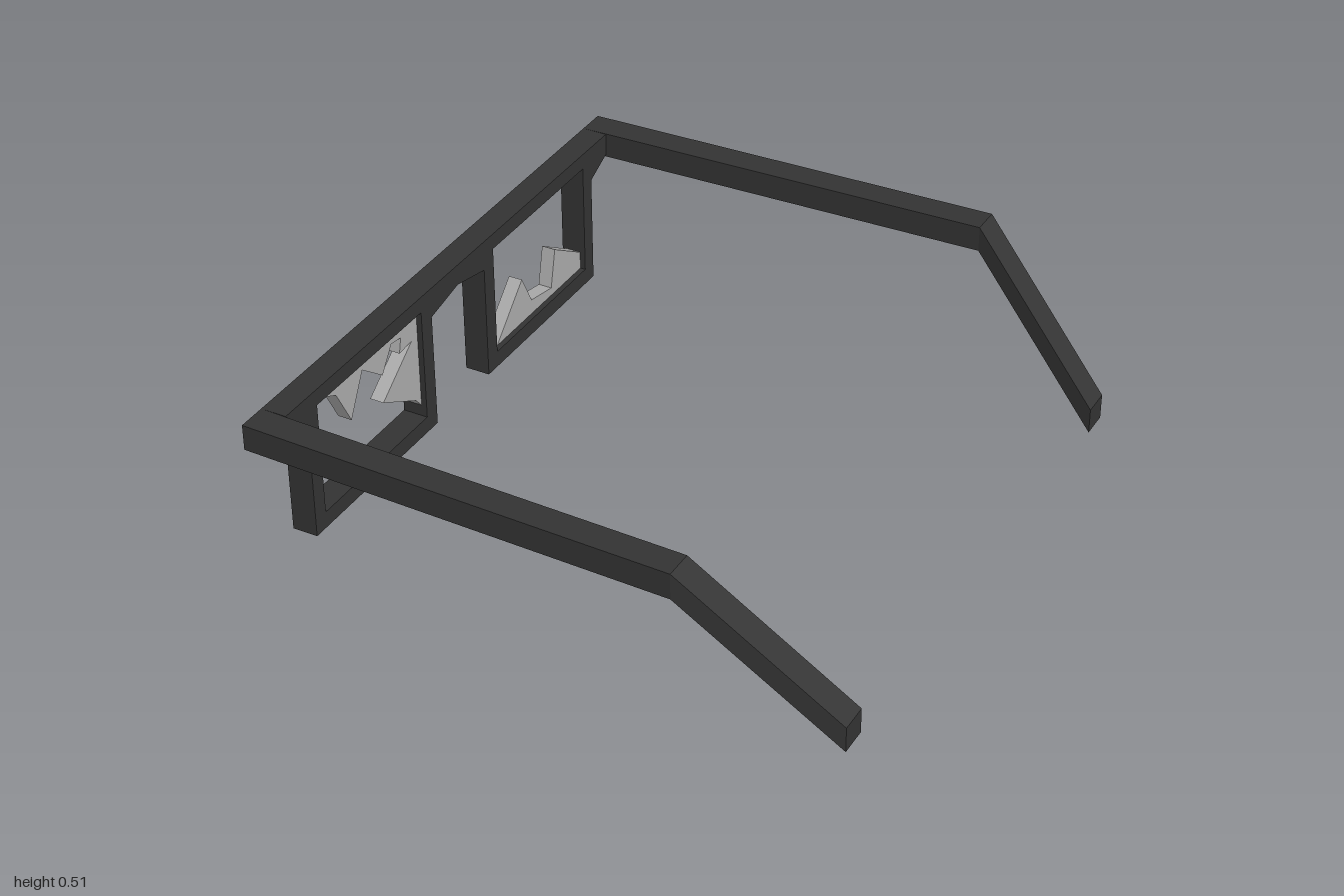
import * as THREE from 'three';

const frameMat = new THREE.MeshStandardMaterial({ color: 0x333333, flatShading: true });
const glassMat = new THREE.MeshStandardMaterial({ color: 0xaaaaaa, flatShading: true });

const points = (list) => list.map(([z, y]) => new THREE.Vector2(z, y));

// Extrudes a (z, y) outline along x, centred on the given x
function plate(name, shape, x, depth, material) {
  const geo = new THREE.ExtrudeGeometry(shape, { depth, bevelEnabled: false });
  geo.translate(0, 0, -depth / 2).rotateY(-Math.PI / 2).translate(x, 0, 0);
  const mesh = new THREE.Mesh(geo, material);
  mesh.name = name;
  return mesh;
}

// Square bar lofted through [x, bottom, top, inner z, outer z] stations
function templeArm(name, side) {
  const stations = [
    [-0.885, 0.43, 0.51, 0.875, 0.965],
    [0.445, 0.43, 0.51, 0.91, 1.0],
    [0.885, 0.0, 0.08, 0.775, 0.865],
  ].map(([x, lo, hi, zi, zo]) =>
    [[x, lo, zi * side], [x, lo, zo * side], [x, hi, zo * side], [x, hi, zi * side]]);
  const pos = [];
  const quad = (...c) => {
    if (side < 0) c.reverse();
    for (const i of [0, 1, 2, 0, 2, 3]) pos.push(...c[i]);
  };
  for (let i = 0; i < stations.length - 1; i++) {
    const p = stations[i], q = stations[i + 1];
    for (let j = 0; j < 4; j++) {
      const k = (j + 1) % 4;
      quad(p[j], q[j], q[k], p[k]);
    }
  }
  quad(...stations[0]);
  quad(...[...stations[2]].reverse());
  const geo = new THREE.BufferGeometry();
  geo.setAttribute('position', new THREE.Float32BufferAttribute(pos, 3));
  geo.computeVertexNormals();
  const mesh = new THREE.Mesh(geo, frameMat);
  mesh.name = name;
  return mesh;
}

export function createModel() {
  const group = new THREE.Group();
  group.name = 'brokenGlasses';

  // Front frame: half outline mirrored about the bridge, with two lens openings
  const half = [
    [0.145, 0.415], [0.145, 0.045], [0.78, 0.045], [0.78, 0.395], [0.875, 0.44], [0.875, 0.51],
  ];
  const mirrored = half.map(([z, y]) => [-z, y]).reverse();
  const outline = new THREE.Shape(points([[0, 0.445], ...half, ...mirrored]));
  for (const s of [1, -1]) {
    outline.holes.push(new THREE.Path(points(
      [[0.198, 0.097], [0.198, 0.46], [0.73, 0.46], [0.73, 0.097]].map(([z, y]) => [z * s, y]))));
  }
  group.add(plate('frontFrame', outline, -0.845, 0.08, frameMat));

  // Temple arms with drooping ear pieces
  group.add(templeArm('templeArmA', 1), templeArm('templeArmB', -1));

  // Jagged remains of the lenses
  const upper = new THREE.Shape(points([
    [0.70, 0.46], [0.615, 0.418], [0.55, 0.295], [0.482, 0.424], [0.385, 0.349],
    [0.332, 0.424], [0.283, 0.418], [0.294, 0.37], [0.23, 0.375], [0.39, 0.257],
    [0.225, 0.166], [0.198, 0.134], [0.198, 0.46],
  ]));
  const lower = new THREE.Shape(points([
    [-0.225, 0.097], [-0.38, 0.247], [-0.433, 0.145], [-0.55, 0.123],
    [-0.578, 0.247], [-0.73, 0.155], [-0.73, 0.097],
  ]));
  group.add(plate('upperLensShard', upper, -0.845, 0.045, glassMat));
  group.add(plate('lowerLensShard', lower, -0.845, 0.045, glassMat));

  return group;
}
